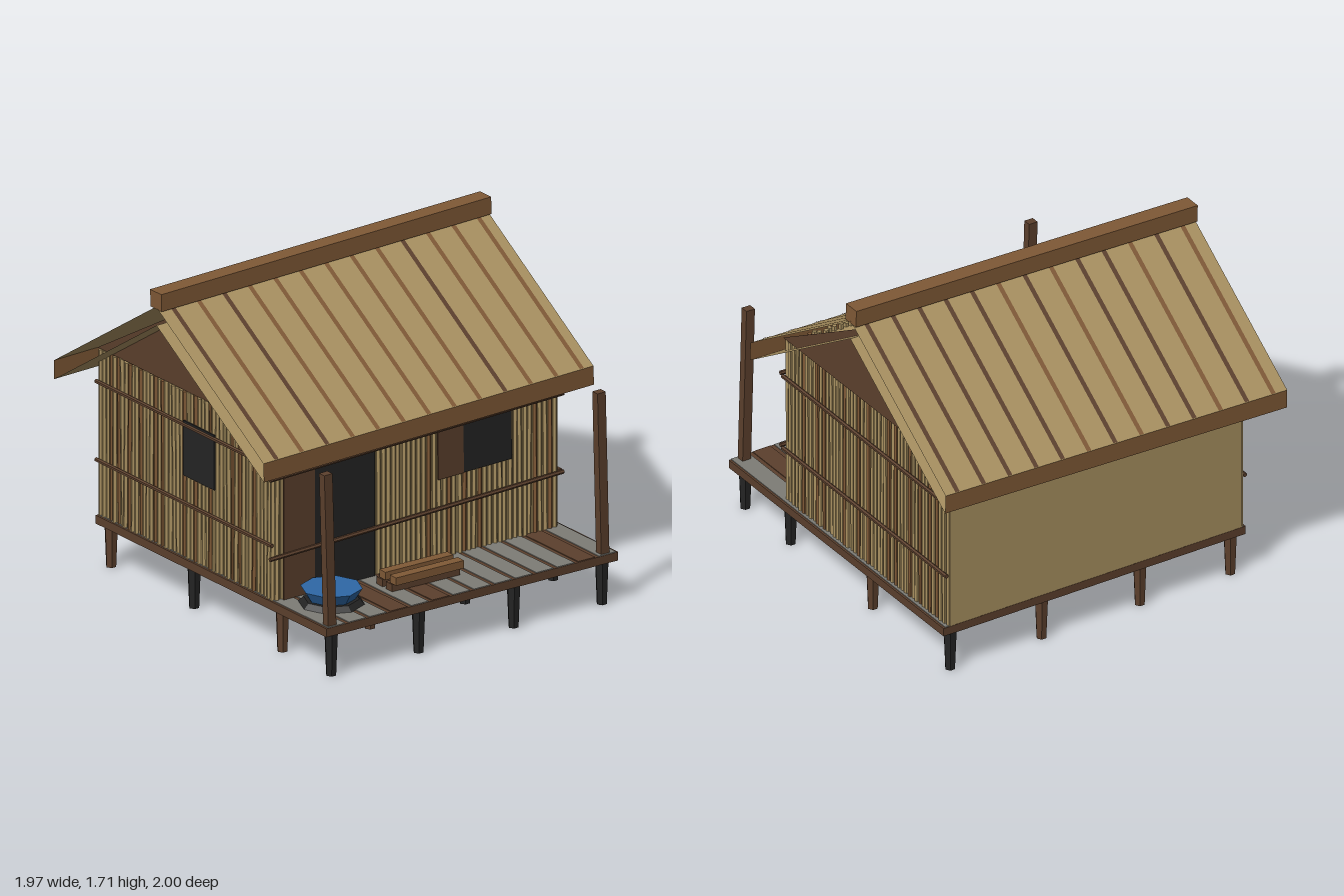
import * as THREE from 'three';

const paint = (name, color) => {
  const m = new THREE.MeshStandardMaterial({ color, side: THREE.DoubleSide, flatShading: true });
  m.name = name;
  return m;
};

export function createModel() {
  const M = {
    straw: paint('straw', 0xa89060),
    wood: paint('wood', 0x7f5936),
    darkWood: paint('dark wood', 0x5c402d),
    char: paint('charred black', 0x242424),
    grey: paint('weathered grey', 0x7d7c76),
    blue: paint('blue', 0x2e68a6),
  };
  const hut = new THREE.Group();
  hut.name = 'stiltHut';

  let seed = 11;
  const rand = () => (seed = (seed * 16807) % 2147483647) / 2147483647;

  const add = (parent, name, geo, mat, x = 0, y = 0, z = 0) => {
    const mesh = new THREE.Mesh(geo, mat);
    mesh.name = name;
    mesh.position.set(x, y, z);
    parent.add(mesh);
    return mesh;
  };
  const box = (parent, name, mat, w, h, d, x, y, z) =>
    add(parent, name, new THREE.BoxGeometry(w, h, d), mat, x, y, z);
  const group = (parent, name) => {
    const g = new THREE.Group();
    g.name = name;
    parent.add(g);
    return g;
  };
  // flat face from a few corners, fanned
  const face = (parent, name, mat, pts) => {
    const g = new THREE.BufferGeometry();
    const tri = [];
    for (let i = 1; i < pts.length - 1; i++) tri.push(...pts[0], ...pts[i], ...pts[i + 1]);
    g.setAttribute('position', new THREE.Float32BufferAttribute(tri, 3));
    g.computeVertexNormals();
    return add(parent, name, g, mat);
  };
  // round bar between two points
  const bar = (parent, name, mat, a, b, r, sides) => {
    const p = new THREE.Vector3(...a), q = new THREE.Vector3(...b);
    const m = add(parent, name, new THREE.CylinderGeometry(r, r, p.distanceTo(q), sides), mat);
    m.position.copy(p).lerp(q, 0.5);
    m.quaternion.setFromUnitVectors(new THREE.Vector3(0, 1, 0), q.sub(p).normalize());
    return m;
  };

  // Stilts: rows front to back, each from -x to +x (c = charred, w = wood)
  const stilts = group(hut, 'stilts');
  const stiltGeo = new THREE.CylinderGeometry(0.035, 0.026, 0.22, 6).rotateY(Math.PI / 6);
  const legX = [-0.76, -0.245, 0.315, 0.835];
  [[0.956, 'cccc'], [0.563, 'wwcc'], [-0.148, 'ccww'], [-0.817, 'wwwc']].forEach(([z, kinds]) =>
    legX.forEach((x, i) =>
      add(stilts, 'stilt', stiltGeo, kinds[i] === 'c' ? M.char : M.darkWood, x, 0.11, z)));

  // Deck with planks laid front to back
  const deck = group(hut, 'deck');
  box(deck, 'deckBase', M.darkWood, 1.72, 0.043, 1.86, 0.04, 0.2395, 0.07);
  for (let i = 0; i < 14; i++) {
    const mat = [3, 5, 12].includes(i) ? M.darkWood : M.grey;
    box(deck, 'plank', mat, 0.1, 0.004, 1.855, -0.82 + 0.1229 * (i + 0.5), 0.263, 0.07);
  }

  // Porch posts, leaning a little
  [[-0.777, -0.8, 1.04], [0.832, 0.81, 1.09]].forEach(([x0, x1, top]) => {
    const post = box(hut, 'porchPost', M.darkWood, 0.048, top - 0.262, 0.042, (x0 + x1) / 2, (top + 0.262) / 2, 0.968);
    post.rotation.z = (x0 - x1) / (top - 0.262);
  });

  // Walls: plain core (its back is the rear wall) faced with cane on three sides
  const walls = group(hut, 'walls');
  const xL = -0.8, xR = 0.865, zF = 0.558, zB = -0.86;
  box(walls, 'wallCore', M.straw, xR - xL, 0.84, zF - zB, (xL + xR) / 2, 0.682, (zF + zB) / 2);
  const cane = (x, z, top, brown) => {
    const wob = () => (rand() - 0.5) * 0.008;
    bar(walls, 'cane', brown ? M.wood : M.straw,
      [x + wob(), 0.262, z + wob()], [x + wob(), top - rand() * 0.012, z + wob()], 0.0125, 5);
  };
  const nF = 56, nS = 48;
  const frontBrown = [6, 30, 34, 37, 40, 51, 54];
  const sideBrown = [5, 9, 11, 17, 21, 24, 30, 32, 36, 39, 42, 44];
  for (let i = 0; i < nF; i++) {
    const x = xL + (xR - xL) * (i + 0.5) / nF;
    cane(x, zF, 1.115 + 0.0285 * x, frontBrown.includes(i));
  }
  for (let i = 0; i < nS; i++) {
    const z = zF + (zB - zF) * (i + 0.5) / nS;
    cane(xR, z, 1.16, sideBrown.includes(i));
    cane(xL, z, 1.115, sideBrown.includes(i));
  }

  // Binding rails across the cane
  [[0.895, 0.947, 0.945], [0.49, 0.547, 0.545]].forEach(([yl, yr, ys]) => {
    bar(walls, 'frontRail', M.darkWood, [-0.85, yl, 0.585], [0.88, yr, 0.585], 0.011, 6);
    bar(walls, 'sideRail', M.darkWood, [xR + 0.018, ys, zF], [xR + 0.018, ys, zB], 0.011, 6);
    bar(walls, 'sideRail', M.darkWood, [xL - 0.018, ys, zF], [xL - 0.018, ys, zB], 0.011, 6);
  });

  // Door, window and their sliding panels
  const plate = (name, mat, x0, x1, y0, y1, z) =>
    box(walls, name, mat, x1 - x0, y1 - y0, 0.008, (x0 + x1) / 2, (y0 + y1) / 2, z);
  plate('doorOpening', M.char, -0.59, -0.225, 0.265, 0.96, 0.574);
  plate('doorPanel', M.darkWood, -0.765, -0.58, 0.265, 0.975, 0.577);
  plate('windowOpening', M.char, 0.285, 0.58, 0.675, 0.97, 0.574).rotation.z = 0.02;
  plate('windowShutter', M.darkWood, 0.145, 0.295, 0.67, 0.965, 0.577).rotation.z = 0.02;
  box(walls, 'sideWindow', M.char, 0.008, 0.28, 0.25, xL - 0.016, 0.825, -0.03);

  // Roof, tilted sideways: double skin with open ends, fascia, battens, ridge beam
  const roof = group(hut, 'roof');
  roof.position.set(0, 1.35, -0.155);
  roof.rotation.z = 0.0285;
  const half = 0.973, apex = 0.258, eave = -0.283, reach = 0.845, gap = 0.096;
  const slope = (name, mat, s, x0, x1, lift) => {
    const a = [x0, apex + lift, 0], b = [x1, apex + lift, 0];
    const c = [x1, eave + lift, s * reach], d = [x0, eave + lift, s * reach];
    face(roof, name, mat, s > 0 ? [a, d, c, b] : [a, b, c, d]);
  };
  [[1, 'dwdwwwwwwdwww'], [-1, 'wdwddwdwddddd']].forEach(([s, kinds]) => {
    slope('outerThatch', M.straw, s, -half, half, 0);
    slope('innerThatch', M.straw, s, -half, half, -gap);
    const z = s * reach, e = s * half;
    face(roof, 'fascia', M.wood, [[-e, eave - gap, z], [e, eave - gap, z], [e, eave, z], [-e, eave, z]]);
    [...kinds].forEach((k, i) => {
      const x = -0.895 + 0.15 * i;
      slope('batten', k === 'd' ? M.darkWood : M.wood, s, x - 0.012, x + 0.012, 0.004);
    });
  });
  box(roof, 'ridgeBeam', M.wood, 1.945, 0.088, 0.09, 0, 0.29, 0);
  const gable = (x, s) =>
    face(roof, 'gable', M.darkWood, [[x, -0.215, s * 0.71], [x, -0.215, -s * 0.71], [x, 0.192, 0]]);
  gable(0.878, 1);
  gable(-0.812, -1);

  // Basin resting on a dark ring
  const basin = group(hut, 'basin');
  basin.position.set(-0.6, 0, 0.74);
  add(basin, 'basinBase', new THREE.CylinderGeometry(0.135, 0.162, 0.026, 8), M.char, 0, 0.277, 0);
  add(basin, 'basinBowl', new THREE.CylinderGeometry(0.15, 0.115, 0.056, 8), M.blue, 0, 0.317, 0);

  // Stacked timber
  const timber = group(hut, 'timberStack');
  timber.position.set(-0.085, 0, 0.76);
  timber.rotation.set(0, -0.04, 0.015);
  [[0.285, 0.02], [0.285, -0.06], [0.33, 0.055], [0.33, -0.035]].forEach(([y, z], i) =>
    box(timber, 'beam', i < 2 ? M.darkWood : M.wood, 0.39, 0.04, 0.052, 0, y, z));

  return hut;
}
